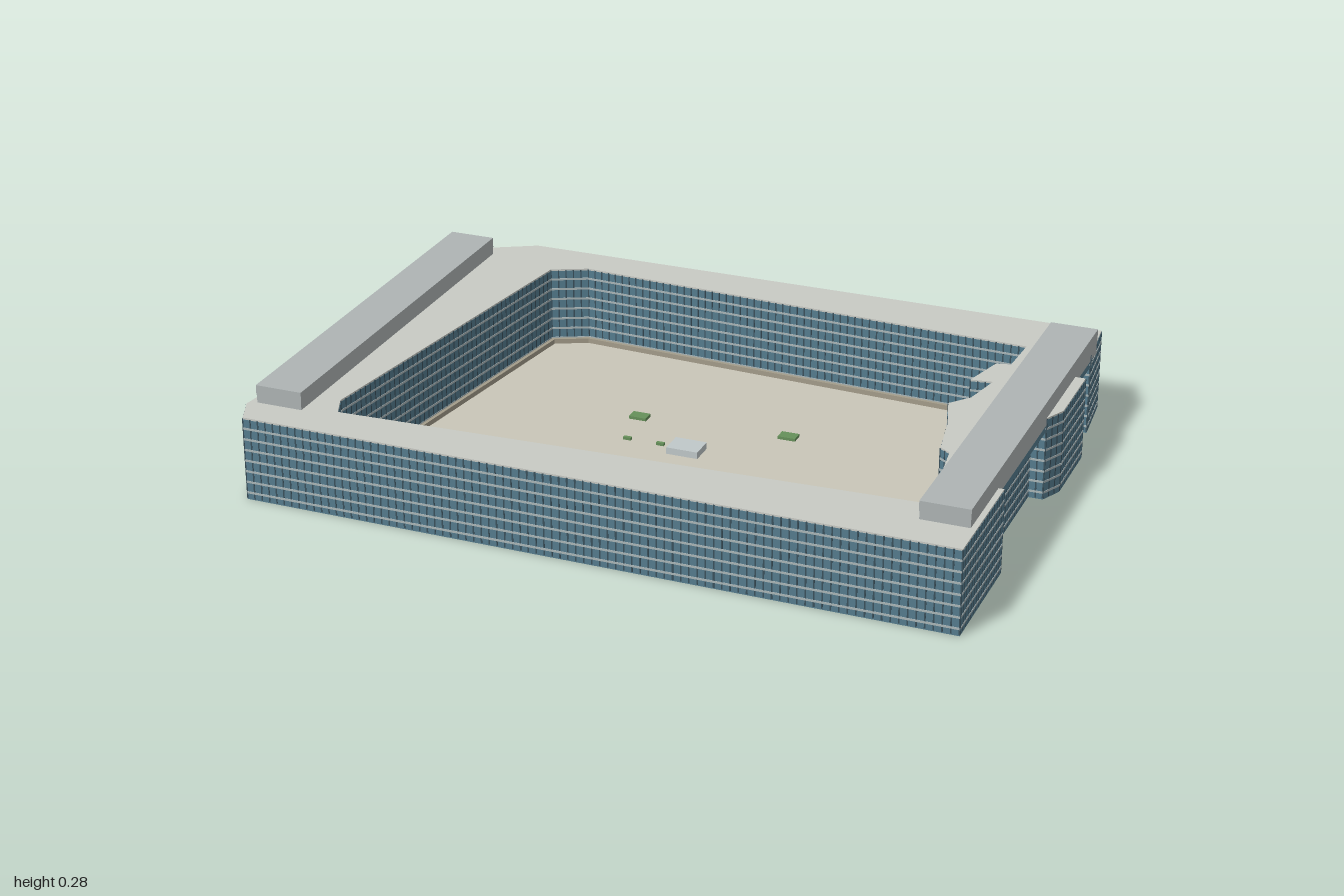
import * as THREE from 'three';
import { mergeGeometries } from 'three/addons/utils/BufferGeometryUtils.js';

// Plan outlines as [x, z]
const OUTER = [
  [-0.75, -0.698], [0.955, -0.698], [0.97, -0.53], [0.93, -0.53], [0.93, -0.37], [0.998, -0.37],
  [0.998, -0.15], [0.97, -0.09], [0.93, -0.09], [0.93, 0.35], [0.985, 0.35], [0.985, 0.695],
  [-0.965, 0.68], [-0.998, 0.6], [-0.975, 0.4], [-0.865, -0.635],
];
const COURT = [
  [-0.54, -0.588], [0.793, -0.517], [0.788, -0.385], [0.748, -0.375], [0.715, -0.25], [0.775, -0.257],
  [0.75, -0.14], [0.705, -0.085], [0.742, 0.04], [0.767, 0.18], [0.797, 0.2], [0.838, 0.495],
  [-0.752, 0.558], [-0.78, 0.49], [-0.638, -0.542],
];
const HEIGHT = 0.235;
const FLOORS = 7;

const mat = (color) => new THREE.MeshStandardMaterial({ color, flatShading: true });
const toPoints = (poly) => poly.map(([x, z]) => new THREE.Vector2(x, -z)).reverse();

// Upright prism from a plan outline, with an optional hole
function prism(poly, hole, y0, y1) {
  const shape = new THREE.Shape(toPoints(poly));
  if (hole) shape.holes.push(new THREE.Path(toPoints(hole)));
  const g = new THREE.ExtrudeGeometry(shape, { depth: y1 - y0, bevelEnabled: false });
  return g.rotateX(-Math.PI / 2).translate(0, y0, 0);
}

// Calls fn(a, b, length, angle) for every edge of a closed outline
function eachEdge(poly, fn) {
  poly.forEach((a, i) => {
    const b = poly[(i + 1) % poly.length];
    const dx = b[0] - a[0], dz = b[1] - a[1];
    fn(a, b, Math.hypot(dx, dz), Math.atan2(-dz, dx));
  });
}

// Strip of height h and thickness t following an outline
function strip(poly, y, h, t) {
  const out = [];
  eachEdge(poly, (a, b, len, ang) => {
    out.push(new THREE.BoxGeometry(len, h, t).rotateY(ang)
      .translate((a[0] + b[0]) / 2, y, (a[1] + b[1]) / 2));
  });
  return out;
}

// Evenly spaced upright window bars along an outline
function bars(poly) {
  const out = [];
  eachEdge(poly, (a, b, len, ang) => {
    const n = Math.max(1, Math.round(len / 0.022));
    for (let i = 0; i < n; i++) {
      const k = i / n;
      out.push(new THREE.BoxGeometry(0.004, HEIGHT - 0.006, 0.003).rotateY(ang)
        .translate(a[0] + (b[0] - a[0]) * k, HEIGHT / 2, a[1] + (b[1] - a[1]) * k));
    }
  });
  return out;
}

export function createModel() {
  const group = new THREE.Group();
  const add = (name, geometry, material) => {
    const mesh = new THREE.Mesh(geometry, material);
    mesh.name = name;
    group.add(mesh);
  };
  const box = (name, w, h, d, x, y0, z, material) =>
    add(name, new THREE.BoxGeometry(w, h, d).translate(x, y0 + h / 2, z), material);

  const glass = mat(0x557c8e), band = mat(0xaab6b8), bar = mat(0x3a505b);
  const roof = mat(0xc8cac4), slab = mat(0xaeb4b4), paving = mat(0xc9c6b8);
  const curb = mat(0xa39c8a), green = mat(0x66905a), stone = mat(0xc0c8c9);

  // Hollow ring-shaped building, open below, under a thin roof
  add('roof', prism(OUTER, COURT, 0.23, HEIGHT), roof);

  // Glass walls, floor bands and window bars on the street and courtyard sides
  [['outer', OUTER], ['courtyard', COURT]].forEach(([side, poly]) => {
    add(side + 'GlassWalls', mergeGeometries(strip(poly, 0.115, 0.23, 0.0016)), glass);
    const bands = [];
    for (let i = 0; i < FLOORS; i++) {
      bands.push(...strip(poly, 0.02 + (i * (HEIGHT - 0.02)) / FLOORS, 0.006, 0.004));
    }
    add(side + 'FloorBands', mergeGeometries(bands), band);
    add(side + 'WindowBars', mergeGeometries(bars(poly)), bar);
  });

  // Rooftop blocks along both short wings; they overhang the recessed walls
  [[-0.91, 0.23], [0.905, 0.215]].forEach(([x, y0]) => {
    box('roofBlockBase', 0.13, 0.257 - y0, 1.173, x, y0, -0.003, slab);
    box('roofBlockTop', 0.132, 0.028, 1.175, x, 0.257, -0.003, slab);
  });

  // Glazed beams under the overhang where the walls step back
  [[-0.53, -0.37], [-0.09, 0.35]].forEach(([z0, z1]) =>
    box('overhangBeam', 0.04, 0.022, z1 - z0, 0.948, 0.193, (z0 + z1) / 2, glass));

  // Courtyard paving with a low curb at the wall foot
  add('courtyardFloor', prism(COURT, null, 0.001, 0.006), paving);
  add('courtyardCurb', mergeGeometries(strip(COURT, 0.011, 0.018, 0.024)), curb);

  // Pavilion, planting beds and small shrubs
  box('pavilion', 0.09, 0.025, 0.07, 0, 0, -0.003, stone);
  [[-0.2, -0.155], [0.227, -0.185], [0.19, 0.17]].forEach(([x, z]) =>
    box('plantingBed', 0.05, 0.014, 0.035, x, 0, z, green));
  [[-0.177, -0.013], [-0.08, -0.013]].forEach(([x, z]) =>
    box('shrub', 0.022, 0.01, 0.01, x, 0.004, z, green));

  return group;
}
